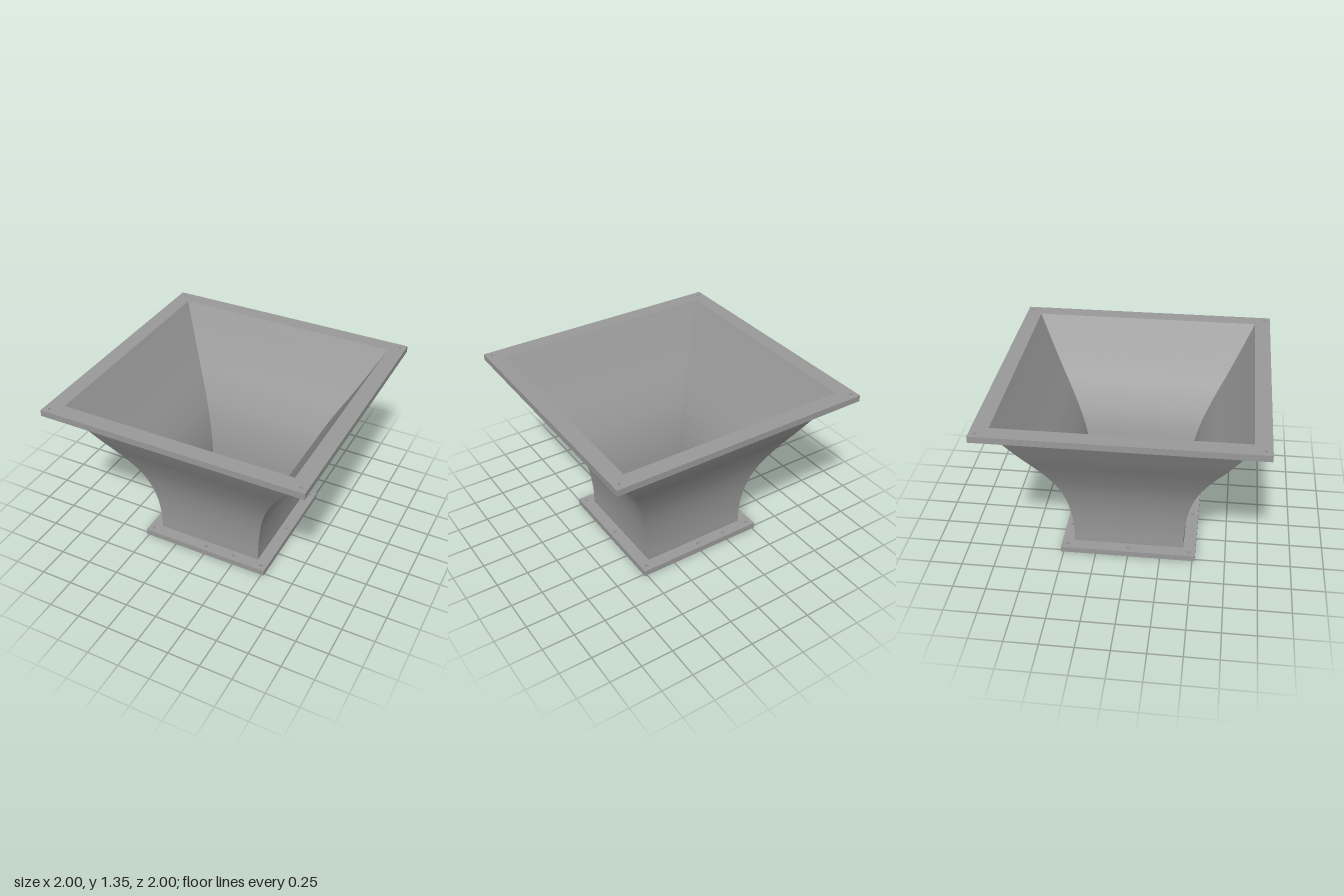
import * as THREE from 'three';

const steel = new THREE.MeshStandardMaterial({ color: 0x999999 });
steel.name = 'grey steel';

// Outer half-width of the flared duct against height
const flare = new THREE.CatmullRomCurve3([
  [0.425, 0.04], [0.428, 0.2], [0.453, 0.4], [0.51, 0.6], [0.605, 0.8],
  [0.722, 1.0], [0.805, 1.15], [0.885, 1.3], [0.911, 1.35],
].map(([r, y]) => new THREE.Vector3(r, y, 0))).getPoints(48);

// One curved side panel facing +z, mitred at its corners
function panelGeometry(profile, inward) {
  const pos = [], index = [];
  profile.forEach(([r, y], i) => {
    pos.push(-r, y, r, r, y, r);
    if (i === 0) return;
    const a = 2 * i - 2, b = a + 1, c = a + 2, d = a + 3;
    if (inward) index.push(a, d, b, a, c, d);
    else index.push(a, b, d, a, d, c);
  });
  const geo = new THREE.BufferGeometry();
  geo.setAttribute('position', new THREE.Float32BufferAttribute(pos, 3));
  geo.setIndex(index);
  geo.computeVertexNormals();
  return geo;
}

// Four panels around the vertical axis
function duct(name, profile, inward) {
  const group = new THREE.Group();
  group.name = name;
  const geo = panelGeometry(profile, inward);
  for (let i = 0; i < 4; i++) {
    const panel = new THREE.Mesh(geo, steel);
    panel.name = name + 'Panel';
    panel.rotation.y = i * Math.PI / 2;
    group.add(panel);
  }
  return group;
}

function squarePath(PathType, h) {
  const p = new PathType();
  p.moveTo(-h, -h);
  p.lineTo(h, -h);
  p.lineTo(h, h);
  p.lineTo(-h, h);
  p.closePath();
  return p;
}

// Square flange with an opening and bolt holes given as [x, z]
function flange(name, half, opening, bolts, radius, y, thickness) {
  const shape = squarePath(THREE.Shape, half);
  shape.holes.push(squarePath(THREE.Path, opening));
  for (const [x, z] of bolts) {
    shape.holes.push(new THREE.Path().absarc(x, -z, radius, 0, Math.PI * 2, true));
  }
  const geo = new THREE.ExtrudeGeometry(shape, { depth: thickness, bevelEnabled: false, curveSegments: 16 });
  geo.rotateX(-Math.PI / 2);
  const mesh = new THREE.Mesh(geo, steel);
  mesh.name = name;
  mesh.position.y = y;
  return mesh;
}

const corners = (d) => [[-d, -d], [d, -d], [d, d], [-d, d]];

export function createModel() {
  const model = new THREE.Group();
  model.name = 'flaredHopper';

  // Wall surfaces
  const outer = flare.map((p) => [p.x, p.y]).filter(([, y]) => y < 1.33);
  const inner = flare.map((p) => [p.x - 0.02 - 0.011 * p.y / 1.35, p.y]);
  model.add(duct('outerWall', outer, false), duct('innerWall', inner, true));

  // Wide top flange with corner bolt holes
  model.add(flange('topFlange', 1, 0.88, corners(0.953), 0.01, 1.302, 0.048));

  // Small bottom flange with corner and side bolt holes
  const b = 0.473;
  const bolts = [...corners(b), [0, b], [0, -b], [b, 0], [-b, 0], [b / 2, b], [-b / 2, -b]];
  model.add(flange('bottomFlange', 0.52, 0.405, bolts, 0.012, 0, 0.047));

  return model;
}
